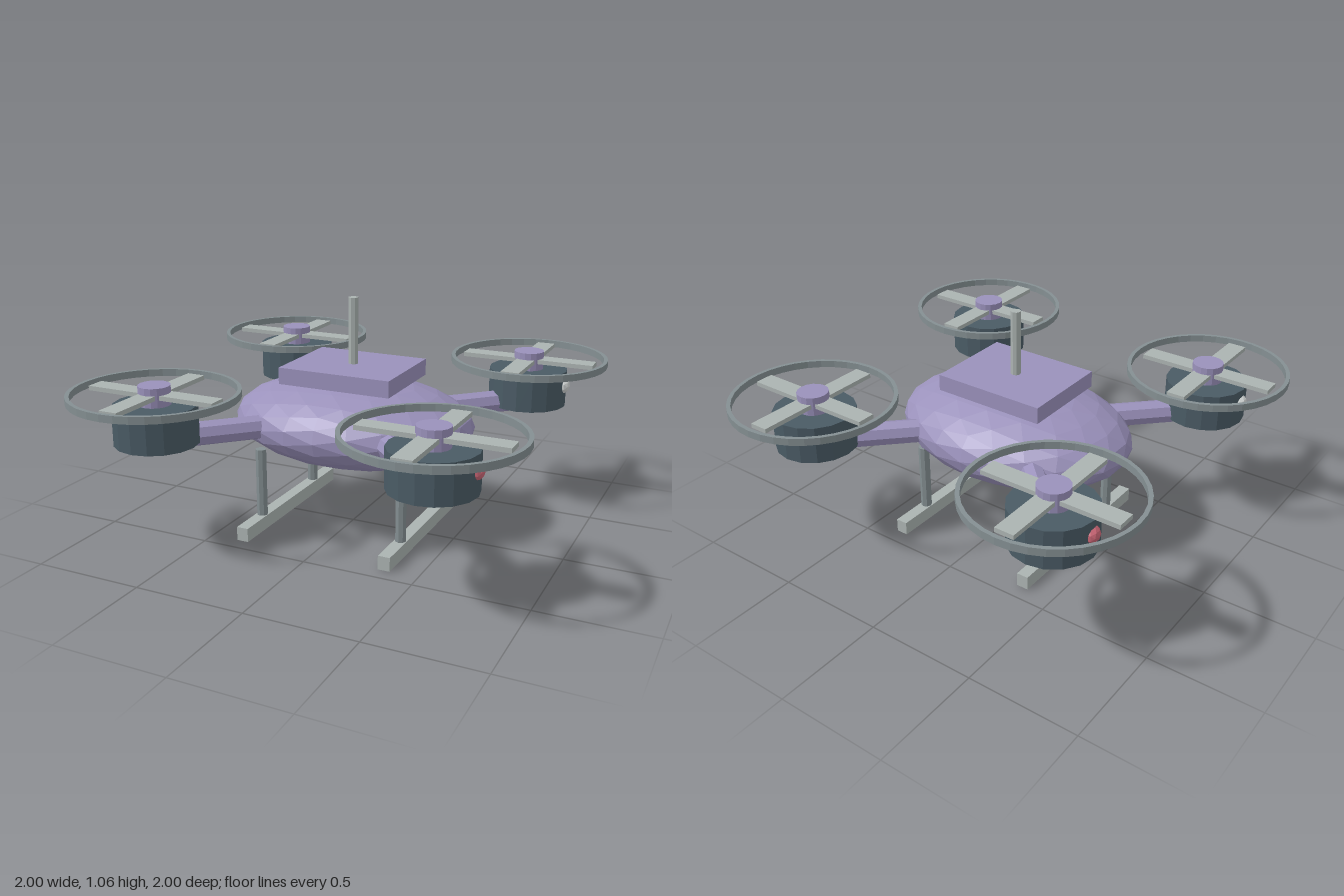
import * as THREE from 'three';

const mat = (name, color, flatShading = true) => {
  const m = new THREE.MeshStandardMaterial({ color, flatShading });
  m.name = name;
  return m;
};

export function createModel() {
  const purple = mat('purple', 0x9a91bb);
  const slate = mat('slate', 0x4a5b65);
  const paleGrey = mat('paleGrey', 0xabb3b1);
  const midGrey = mat('midGrey', 0x848f92);
  const red = mat('redLight', 0xcf6878);
  const white = mat('whiteLight', 0xd5d9d8);

  const model = new THREE.Group();
  model.name = 'quadcopter';
  const add = (parent, name, geometry, material, x = 0, y = 0, z = 0) => {
    const mesh = new THREE.Mesh(geometry, material);
    mesh.name = name;
    mesh.position.set(x, y, z);
    parent.add(mesh);
    return mesh;
  };

  // Faceted body, roof box and mast
  const body = add(model, 'body', new THREE.IcosahedronGeometry(1, 3), purple, 0, 0.5, 0);
  body.scale.set(0.567, 0.197, 0.41);
  add(model, 'roofBox', new THREE.BoxGeometry(0.53, 0.075, 0.425), purple, 0, 0.723, 0);
  add(model, 'mast', new THREE.CylinderGeometry(0.023, 0.023, 0.32, 8), paleGrey, 0, 0.9, 0);

  // Shared rotor shapes
  const armGeo = new THREE.CylinderGeometry(0.055, 0.055, 0.54, 8);
  const motorGeo = new THREE.CylinderGeometry(0.184, 0.184, 0.17, 16);
  const hubGeo = new THREE.CylinderGeometry(0.07, 0.07, 0.085, 16);
  const bladeGeo = new THREE.BoxGeometry(0.626, 0.02, 0.085);
  const lightGeo = new THREE.IcosahedronGeometry(0.04, 1);
  const ringGeo = new THREE.LatheGeometry(
    [[0.35, -0.016], [0.368, -0.016], [0.368, 0.016], [0.35, 0.016], [0.35, -0.016]]
      .map(([r, y]) => new THREE.Vector2(r, y)), 36);

  for (const sx of [-1, 1]) {
    for (const sz of [-1, 1]) {
      // Diagonal arm
      const arm = add(model, 'arm', armGeo, purple, sx * 0.503, 0.508, sz * 0.503);
      arm.quaternion.setFromUnitVectors(
        new THREE.Vector3(0, 1, 0), new THREE.Vector3(sx, 0, sz).normalize());

      // Motor, hub, crossed blades, guard ring and lamp
      const rotor = new THREE.Group();
      rotor.name = 'rotor';
      rotor.position.set(sx * 0.63, 0, sz * 0.63);
      model.add(rotor);
      add(rotor, 'motor', motorGeo, slate, 0, 0.575, 0);
      add(rotor, 'hub', hubGeo, purple, 0, 0.702, 0);
      for (const angle of [0, Math.PI / 2])
        add(rotor, 'blade', bladeGeo, paleGrey, 0, 0.703, 0).rotation.y = angle;
      add(rotor, 'guardRing', ringGeo, midGrey, 0, 0.703, 0);
      add(rotor, 'lamp', lightGeo, sx * sz > 0 ? red : white, sx * 0.165, 0.592, 0);

      // Landing leg
      add(model, 'leg', new THREE.CylinderGeometry(0.025, 0.025, 0.33, 8), midGrey,
        sx * 0.345, 0.215, sz * 0.25);
    }
    // Landing skid
    add(model, 'skid', new THREE.BoxGeometry(0.055, 0.063, 0.86), paleGrey, sx * 0.345, 0.0315, 0);
  }
  return model;
}
